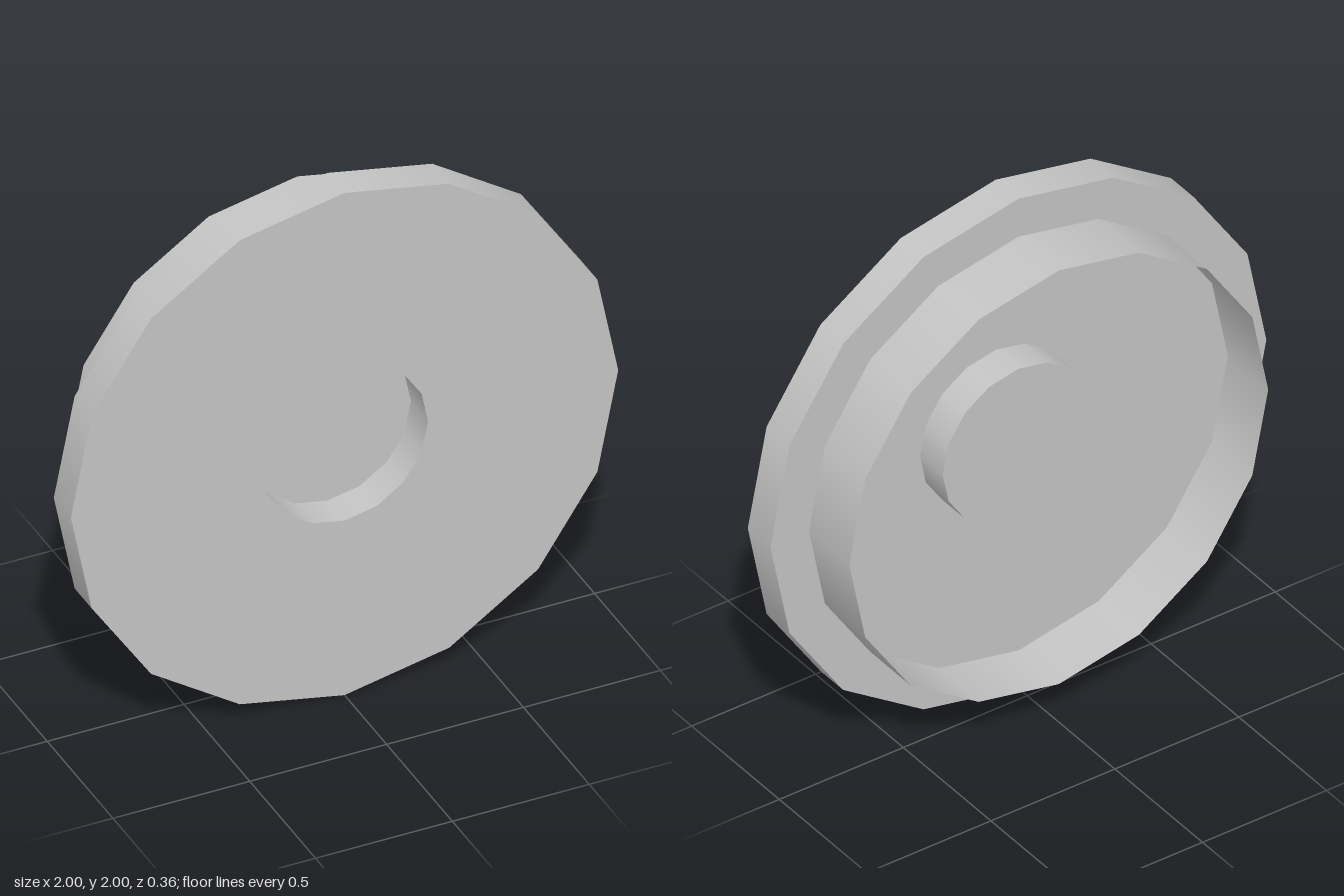
import * as THREE from 'three';

const SIDES = 16;

export function createModel() {
  const model = new THREE.Group();
  model.name = 'flangedCover';
  const grey = new THREE.MeshStandardMaterial({ color: 0xc4c4c4, side: THREE.DoubleSide });
  grey.name = 'plain grey';

  // depths of the three levels of the thin shell
  const front = 0.18, step = 0.05, back = -0.18;
  const rimR = 1, drumR = 0.845, hubR = 0.305;

  const add = (name, geometry, z) => {
    const mesh = new THREE.Mesh(geometry, grey);
    mesh.name = name;
    mesh.position.set(0, 1, z);
    model.add(mesh);
  };
  // open sixteen-sided wall along z
  const wall = (name, r, z0, z1) => {
    const g = new THREE.CylinderGeometry(r, r, z1 - z0, SIDES, 1, true);
    g.rotateX(Math.PI / 2);
    add(name, g, (z0 + z1) / 2);
  };

  // front plate with its sunken hub
  add('frontPlate', new THREE.RingGeometry(hubR, rimR, SIDES), front);
  wall('hubWall', hubR, step, front);
  add('hubFloor', new THREE.CircleGeometry(hubR, SIDES), step);

  // outer rim, back shoulder (facing -z) and the open drum behind it
  wall('rimWall', rimR, step, front);
  const shoulder = new THREE.RingGeometry(drumR, rimR, SIDES);
  shoulder.rotateX(Math.PI);
  add('backShoulder', shoulder, step);
  wall('drumWall', drumR, back, step);

  return model;
}
